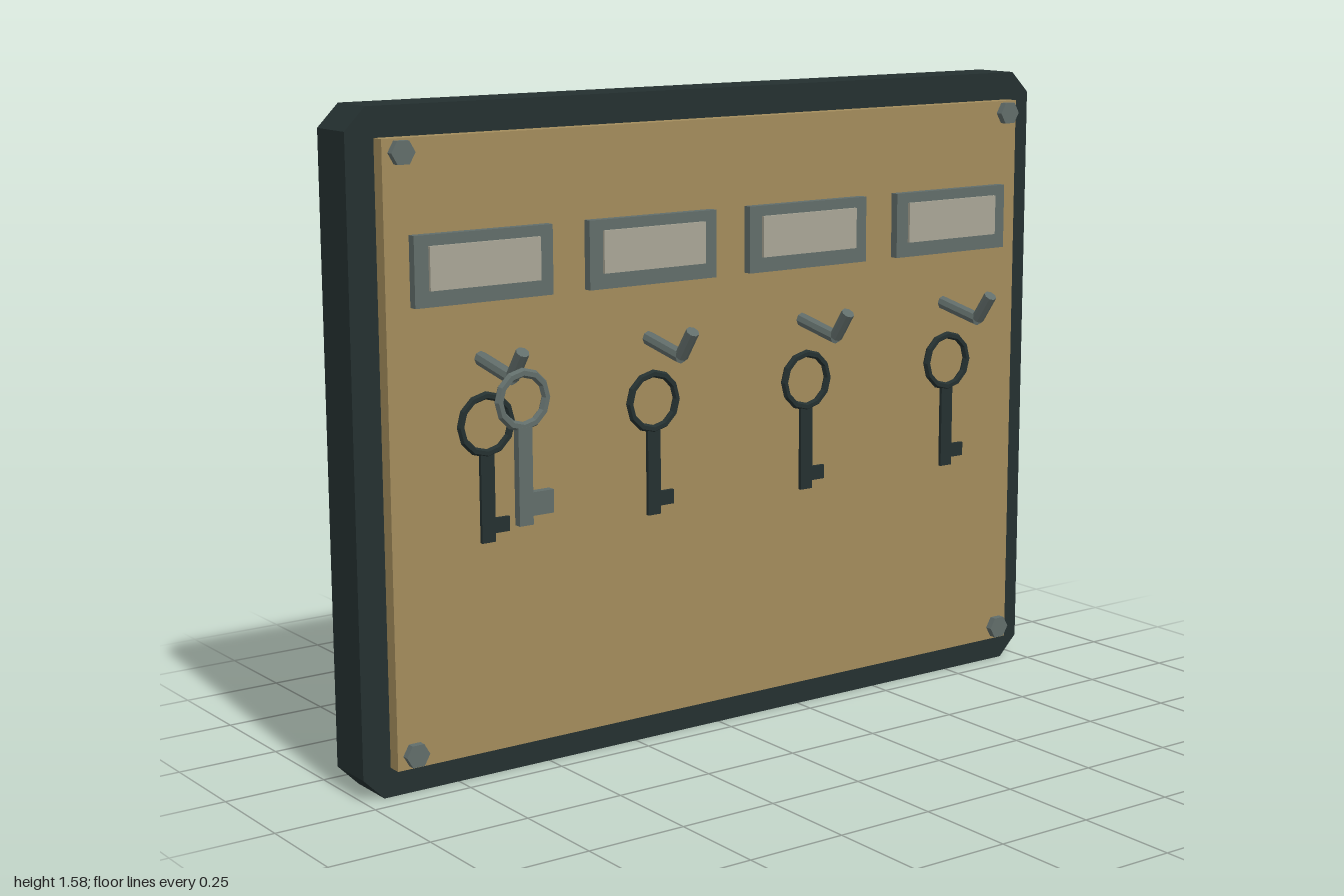
import * as THREE from 'three';

const mat = (name, color) => {
  const m = new THREE.MeshStandardMaterial({ color, flatShading: true });
  m.name = name;
  return m;
};

export function createModel() {
  const darkIron = mat('darkIron', 0x243030);
  const tanBoard = mat('tanBoard', 0xa38c5c);
  const steel = mat('steel', 0x616d6a);
  const paper = mat('paper', 0xa9a696);

  const root = new THREE.Group();
  root.name = 'keyRack';

  const add = (parent, name, geo, material, x = 0, y = 0, z = 0) => {
    const mesh = new THREE.Mesh(geo, material);
    mesh.name = name;
    mesh.position.set(x, y, z);
    parent.add(mesh);
    return mesh;
  };
  const box = (w, h, d) => new THREE.BoxGeometry(w, h, d);

  // Backing board with clipped corners
  const w = 1, h = 1.58, c = 0.053;
  const outline = new THREE.Shape([
    [-w + c, 0], [w - c, 0], [w, c], [w, h - c],
    [w - c, h], [-w + c, h], [-w, h - c], [-w, c],
  ].map(([x, y]) => new THREE.Vector2(x, y)));
  add(root, 'backBoard', new THREE.ExtrudeGeometry(outline, { depth: 0.125, bevelEnabled: false }),
    darkIron, 0, 0, -0.178);

  // Raised front panel
  add(root, 'frontPanel', box(1.858, 1.44, 0.036), tanBoard, 0, 0.79, -0.036);

  // Hexagonal corner bolts
  for (const x of [-0.888, 0.888]) {
    for (const y of [0.106, 1.48]) {
      const bolt = add(root, 'bolt', new THREE.CylinderGeometry(0.03, 0.03, 0.018, 6), steel, x, y, -0.003);
      bolt.rotation.set(Math.PI / 2, Math.PI / 6, 0, 'XYZ');
    }
  }

  // Straight rod between two points in the y-z plane
  const rod = (parent, name, y0, z0, y1, z1, r) => {
    const a = new THREE.Vector3(0, y0, z0), b = new THREE.Vector3(0, y1, z1);
    const dir = b.clone().sub(a);
    const mesh = add(parent, name, new THREE.CylinderGeometry(r, r, dir.length(), 8), steel);
    mesh.position.copy(a).add(b).multiplyScalar(0.5);
    mesh.quaternion.setFromUnitVectors(new THREE.Vector3(0, 1, 0), dir.normalize());
  };

  // Key: ring bow, flat shaft and one bit on the +x side
  const makeKey = (name, material, k) => {
    const key = new THREE.Group();
    key.name = name;
    add(key, 'bow', new THREE.TorusGeometry(k.ring, k.tube, 6, 12), material, 0, k.y, 0);
    const top = k.y - k.ring;
    add(key, 'shaft', box(0.036, top - k.bottom, k.depth), material, 0, (top + k.bottom) / 2, 0);
    const [b0, b1] = k.bitY;
    add(key, 'bit', box(k.bitW + 0.01, b1 - b0, k.depth), material, 0.013 + k.bitW / 2, (b0 + b1) / 2, 0);
    return key;
  };

  // Four stations: label holder, hook and dark key silhouette
  for (let i = 0; i < 4; i++) {
    const station = new THREE.Group();
    station.name = 'station' + (i + 1);
    station.position.x = -0.69 + 0.46 * i;
    root.add(station);

    add(station, 'labelFrame', box(0.36, 0.162, 0.022), steel, 0, 1.216, -0.002);
    add(station, 'labelCard', box(0.288, 0.1, 0.008), paper, 0, 1.222, 0.012);

    rod(station, 'hookArm', 1.003, -0.022, 0.977, 0.118, 0.017);
    rod(station, 'hookTip', 0.978, 0.117, 1.042, 0.163, 0.016);

    station.add(makeKey('keySilhouette', darkIron,
      { y: 0.853, ring: 0.067, tube: 0.0095, bottom: 0.577, depth: 0.009, bitY: [0.597, 0.632], bitW: 0.038 }));
  }

  // Steel key hanging on the first hook
  const hanging = makeKey('hangingKey', steel,
    { y: 0.935, ring: 0.061, tube: 0.011, bottom: 0.65, depth: 0.02, bitY: [0.67, 0.724], bitW: 0.054 });
  hanging.position.set(-0.69, 0, 0.159);
  root.add(hanging);

  return root;
}
